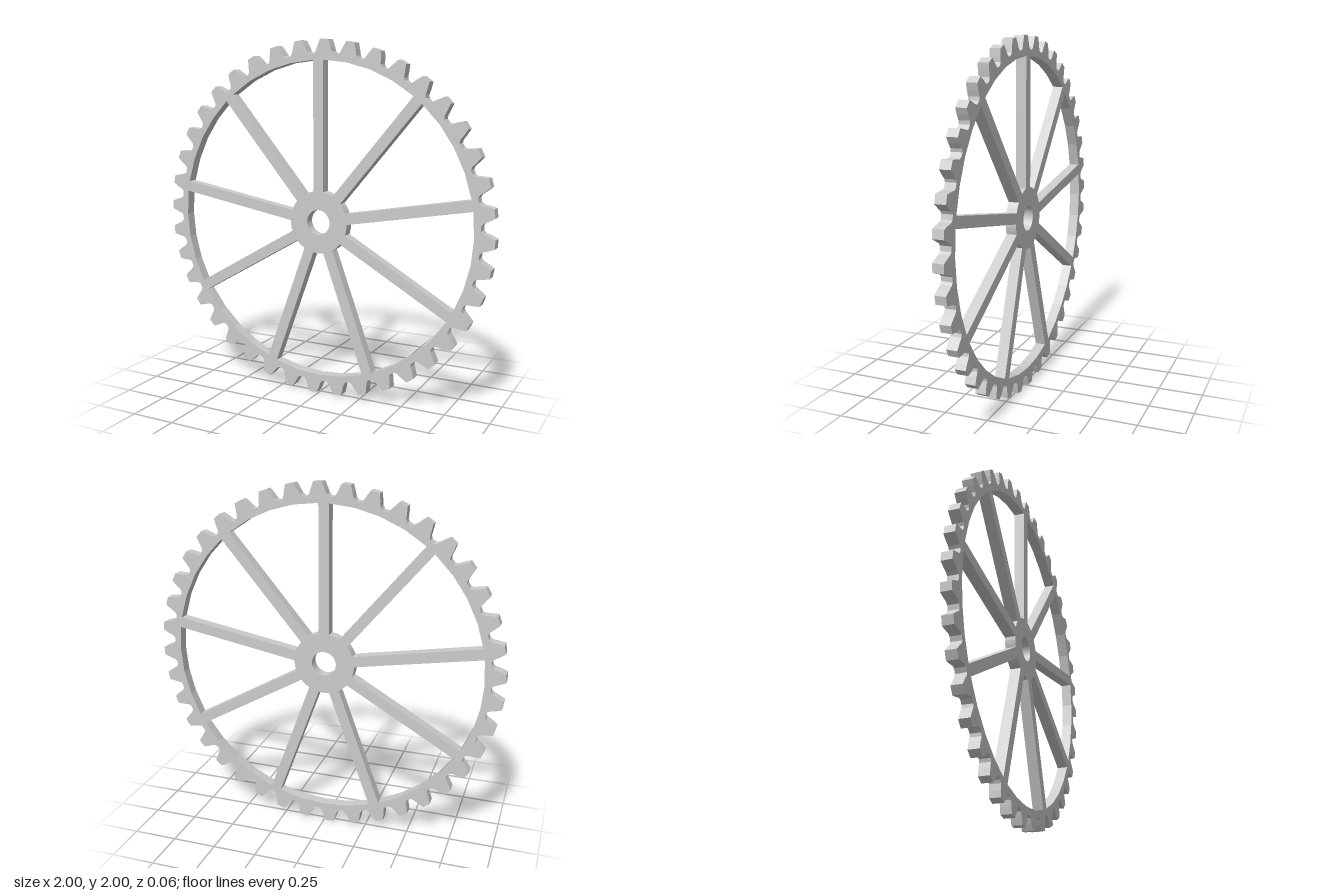
import * as THREE from 'three';

const TEETH = 40, SPOKES = 9, DEPTH = 0.06;
const TOOTH_PHASE = -2, SPOKE_HALF = 0.03;
const HUB_R = 0.175, BORE_R = 0.07, RIM_R = 0.89;
const rad = THREE.MathUtils.degToRad;
const polar = (r, a) => new THREE.Vector2(r * Math.cos(a), r * Math.sin(a));

// Half profile of one tooth: [radius, angle in degrees from the tooth centre]
const FLANK = [[0.925, 3.7], [0.937, 2.9], [0.967, 2.2], [1.0, 1.35]];

function gearOutline() {
  const points = [];
  for (let i = 0; i < TEETH; i++) {
    const centre = TOOTH_PHASE + i * 360 / TEETH;
    for (const [r, a] of FLANK) points.push(polar(r, rad(centre - a)));
    for (const [r, a] of [...FLANK].reverse()) points.push(polar(r, rad(centre + a)));
  }
  return points;
}

// Opening between two neighbouring spokes, with parallel spoke edges
function windowOutline(start, end) {
  const points = [];
  const arc = (r, from, to, n) => {
    for (let i = 0; i <= n; i++) points.push(polar(r, from + (to - from) * i / n));
  };
  const inner = Math.asin(SPOKE_HALF / HUB_R), outer = Math.asin(SPOKE_HALF / RIM_R);
  arc(RIM_R, start + outer, end - outer, 4);
  arc(HUB_R, end - inner, start + inner, 3);
  return points;
}

export function createModel() {
  const group = new THREE.Group();
  group.name = 'spokedGear';

  // Rim, teeth, spokes and hub form one flat plate with cut-outs
  const shape = new THREE.Shape(gearOutline());
  const step = 2 * Math.PI / SPOKES;
  for (let i = 0; i < SPOKES; i++) {
    const start = Math.PI / 2 + i * step;
    shape.holes.push(new THREE.Path(windowOutline(start, start + step)));
  }

  // Axle bore
  const bore = [];
  for (let i = 0; i < 32; i++) bore.push(polar(BORE_R, -i * Math.PI / 16));
  shape.holes.push(new THREE.Path(bore));

  const geometry = new THREE.ExtrudeGeometry(shape, { depth: DEPTH, bevelEnabled: false });
  geometry.translate(0, 1, -DEPTH / 2);
  const wheel = new THREE.Mesh(
    geometry,
    new THREE.MeshStandardMaterial({ color: 0xcccccc, flatShading: true })
  );
  wheel.name = 'gearWheel';
  group.add(wheel);
  return group;
}
